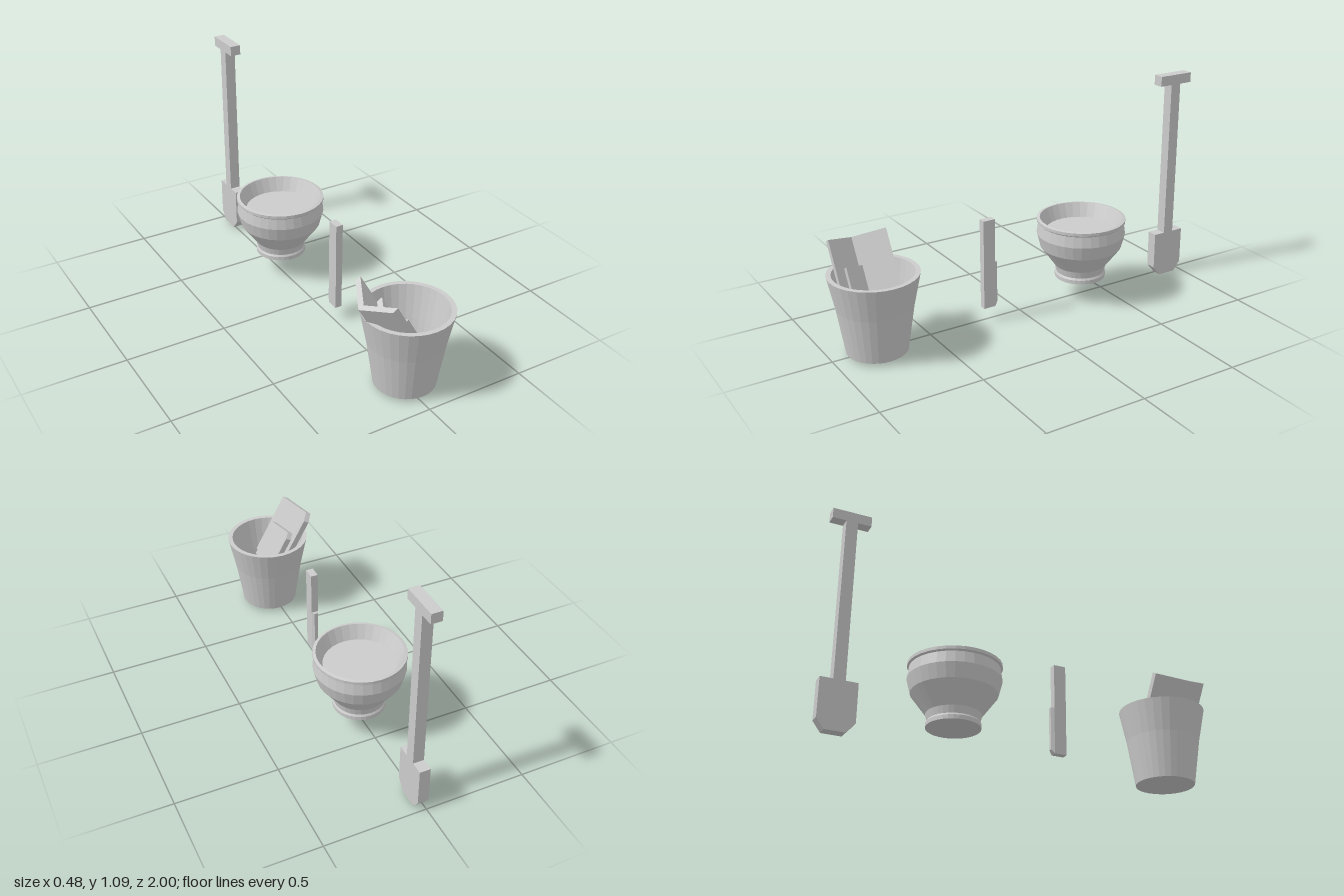
import * as THREE from 'three';

const CX = 0.016; // shared centre line in x

export function createModel() {
  const group = new THREE.Group();
  const mat = new THREE.MeshStandardMaterial({ color: 0xcccccc, flatShading: true });

  const add = (name, geometry, parent = group) => {
    const mesh = new THREE.Mesh(geometry, mat);
    mesh.name = name;
    parent.add(mesh);
    return mesh;
  };
  const toShape = (points) => new THREE.Shape(points.map(([a, b]) => new THREE.Vector2(a, b)));

  // turned vessel: profile of [radius, height]
  const turned = (name, profile, z) => {
    const points = profile.map(([r, y]) => new THREE.Vector2(r, y));
    add(name, new THREE.LatheGeometry(points, 32).translate(CX, 0, z));
  };

  // flat part: outline of [z, y], given a thickness in x
  const plate = (outline, width) =>
    new THREE.ExtrudeGeometry(toShape(outline), { depth: width, bevelEnabled: false })
      .rotateY(-Math.PI / 2)
      .translate(CX + width / 2, 0, 0);
  const rect = (z0, z1, y0, y1) => [[z0, y0], [z1, y0], [z1, y1], [z0, y1]];

  // bucket with a thick wall
  turned('bucket', [
    [0, 0.015], [0.145, 0.015], [0.18, 0.24], [0.213, 0.4],
    [0.19, 0.4], [0.158, 0.24], [0.124, 0.04], [0, 0.04],
  ], 0.783);

  // angled bars leaning in the bucket, cross-section is a chevron
  const tilt = Math.PI / 6;
  const across = new THREE.Vector3(Math.cos(tilt), Math.sin(tilt), 0);
  const down = new THREE.Vector3(Math.sin(tilt), -Math.cos(tilt), 0);
  const chevron = (name, x, y, half, length) => {
    const arm = half * 0.6, t = 0.03;
    const shape = toShape([[0, 0], [arm, -half], [arm + t, -half], [t, 0], [arm + t, half], [arm, half]]);
    const geometry = new THREE.ExtrudeGeometry(shape, { depth: length, bevelEnabled: false });
    const basis = new THREE.Matrix4()
      .makeBasis(across, new THREE.Vector3(0, 0, 1), down)
      .setPosition(x, y, 0.783);
    add(name, geometry.applyMatrix4(basis));
  };
  chevron('largeAngleBar', -0.24, 0.475, 0.143, 0.34);
  chevron('smallAngleBar', -0.13, 0.375, 0.1, 0.21);

  // knife: handle, blade body and a tapered cutting edge
  const knife = new THREE.Group();
  knife.name = 'knife';
  group.add(knife);
  add('knifeHandle', plate(rect(0.158, 0.22, 0.308, 0.53), 0.036), knife);
  add('knifeBlade', plate(rect(0.158, 0.22, 0.075, 0.308), 0.034), knife);
  const edge = plate([[0.142, 0.095], [0.158, 0.075], [0.158, 0.308], [0.142, 0.308]], 0.034);
  const pos = edge.attributes.position;
  for (let i = 0; i < pos.count; i++) {
    if (pos.getZ(i) < 0.15) pos.setX(i, CX + (pos.getX(i) - CX) * 0.5);
  }
  edge.computeVertexNormals();
  add('knifeEdge', edge, knife);

  // footed pot with a rim and a shallow recessed filling
  turned('pot', [
    [0, 0.115], [0.128, 0.115], [0.128, 0.135], [0.122, 0.145], [0.13, 0.18],
    [0.204, 0.28], [0.222, 0.35], [0.214, 0.405], [0.222, 0.412], [0.222, 0.427],
    [0.207, 0.43], [0.175, 0.36], [0, 0.36],
  ], -0.355);

  // shovel: blade with clipped corners, shaft and cross grip
  const shovel = new THREE.Group();
  shovel.name = 'shovel';
  group.add(shovel);
  const w = 0.054;
  add('shovelBlade', plate([
    [-0.957, 0], [-0.862, 0], [-0.819, 0.05], [-0.819, 0.238], [-0.995, 0.238], [-0.995, 0.05],
  ], w), shovel);
  add('shovelShaft', plate(rect(-0.934, -0.878, 0.238, 1.04), w), shovel);
  add('shovelGrip', plate(rect(-1, -0.812, 1.04, 1.09), w), shovel);

  return group;
}
